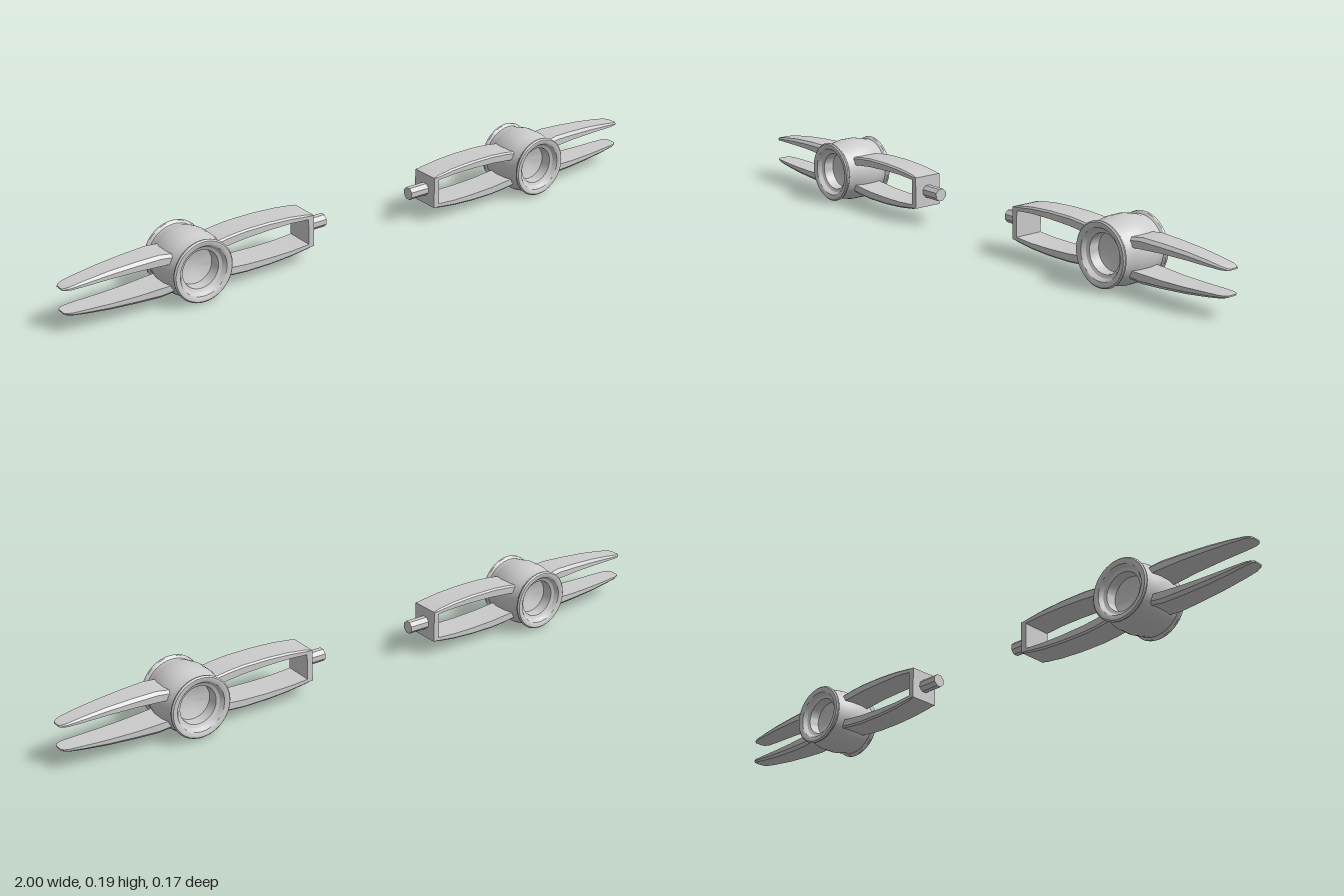
import * as THREE from 'three';
import { toCreasedNormals } from 'three/addons/utils/BufferGeometryUtils.js';

const grey = new THREE.MeshStandardMaterial({ color: 0xcccccc });

function add(parent, name, geometry) {
  const mesh = new THREE.Mesh(toCreasedNormals(geometry, 0.5), grey);
  mesh.name = name;
  parent.add(mesh);
  return mesh;
}

// Bar lofted along +x; each station is [x, inner y, outer y, half width, chamfer]
function loftBar(stations) {
  const rings = stations.map(([x, lo, hi, w, c]) => [
    [x, lo, w], [x, lo, -w], [x, hi - c, -w], [x, hi, -w + c], [x, hi, w - c], [x, hi - c, w],
  ]);
  const n = 6, pos = [];
  const tri = (a, b, c) => pos.push(...a, ...b, ...c);
  for (let i = 0; i < rings.length - 1; i++) {
    const p = rings[i], q = rings[i + 1];
    for (let j = 0; j < n; j++) {
      const k = (j + 1) % n;
      tri(p[j], p[k], q[k]);
      tri(p[j], q[k], q[j]);
    }
  }
  // End caps
  const first = rings[0], last = rings[rings.length - 1];
  for (let j = 1; j < n - 1; j++) {
    tri(first[0], first[j + 1], first[j]);
    tri(last[0], last[j], last[j + 1]);
  }
  const g = new THREE.BufferGeometry();
  g.setAttribute('position', new THREE.Float32BufferAttribute(pos, 3));
  g.computeVertexNormals();
  return g;
}

// One half, centred on its hub, with the tapered prongs pointing to +x
function createUnit() {
  const unit = new THREE.Group();

  // Barrel hub with flared rims and a recessed socket on each face
  const half = [
    [0, 0.022], [0.03, 0.026], [0.055, 0.034], [0.057, 0.066], [0.066, 0.07],
    [0.074, 0.082], [0.08, 0.085], [0.089, 0.085], [0.093, 0.081], [0.092, 0.076],
    [0.086, 0.07], [0.086, 0.064], [0.092, 0.042], [0.0965, 0.02],
  ];
  const profile = [
    ...half.map(([r, z]) => new THREE.Vector2(r, -z)),
    ...half.slice().reverse().map(([r, z]) => new THREE.Vector2(r, z)),
  ];
  const hub = new THREE.LatheGeometry(profile, 40);
  hub.rotateX(Math.PI / 2);
  add(unit, 'hub', hub);

  const prong = [
    [0.068, 0.031, 0.057, 0.048, 0.008],
    [0.11, 0.033, 0.063, 0.046, 0.009],
    [0.18, 0.036, 0.061, 0.042, 0.009],
    [0.26, 0.036, 0.056, 0.037, 0.008],
    [0.33, 0.034, 0.048, 0.032, 0.006],
    [0.37, 0.033, 0.042, 0.028, 0.004],
    [0.384, 0.033, 0.039, 0.022, 0.003],
    [0.39, 0.033, 0.037, 0.014, 0.002],
  ];
  // Listed from the yoke plate towards the hub
  const yokeArm = [
    [-0.39, 0.036, 0.048, 0.046, 0.003],
    [-0.37, 0.039, 0.053, 0.046, 0.004],
    [-0.31, 0.043, 0.061, 0.046, 0.005],
    [-0.24, 0.043, 0.065, 0.046, 0.005],
    [-0.16, 0.04, 0.065, 0.046, 0.005],
    [-0.11, 0.035, 0.061, 0.046, 0.005],
    [-0.068, 0.031, 0.055, 0.046, 0.005],
  ];
  for (const [side, turn] of [['upper', 0], ['lower', Math.PI]]) {
    add(unit, side + 'Prong', loftBar(prong)).rotation.x = turn;
    add(unit, side + 'YokeArm', loftBar(yokeArm)).rotation.x = turn;
  }

  // Plate closing the yoke, and the short shaft beyond it
  const plate = new THREE.BoxGeometry(0.018, 0.096, 0.092);
  plate.translate(-0.381, 0, 0);
  add(unit, 'yokePlate', plate);

  const shaft = new THREE.CylinderGeometry(0.02, 0.02, 0.075, 8);
  shaft.rotateY(Math.PI / 8);
  shaft.rotateZ(Math.PI / 2);
  shaft.translate(-0.4165, 0, 0);
  add(unit, 'shaft', shaft);
  return unit;
}

export function createModel() {
  const model = new THREE.Group();
  for (const side of [1, -1]) {
    const unit = createUnit();
    unit.name = side > 0 ? 'leftUnit' : 'rightUnit';
    unit.position.set(side * 0.61, 0.0965, 0);
    unit.rotation.y = side > 0 ? 0 : Math.PI;
    model.add(unit);
  }
  return model;
}
